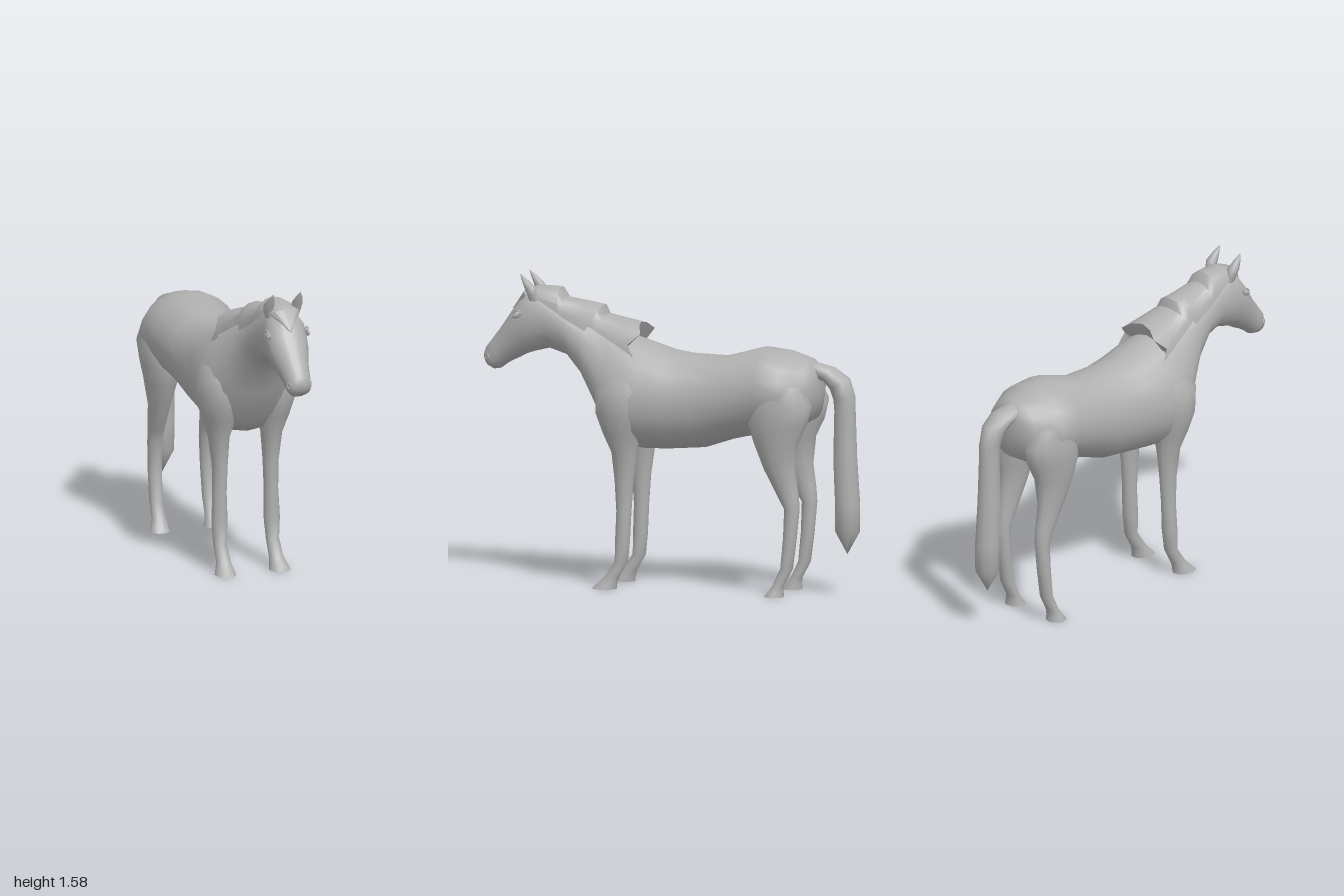
import * as THREE from 'three';
import { toCreasedNormals } from 'three/addons/utils/BufferGeometryUtils.js';

const coat = new THREE.MeshStandardMaterial({ color: 0xb0b0b0, side: THREE.DoubleSide });
coat.name = 'grey coat';

// Joins rows of points into a skin; closed rows wrap round and get end caps
function skin(rows, closed, crease = 1.1) {
  const n = rows[0].length, pos = rows.flat(2), index = [];
  const at = (i, j) => i * n + (j % n);
  for (let i = 0; i < rows.length - 1; i++) {
    for (let j = 0; j < (closed ? n : n - 1); j++) {
      const a = at(i, j), b = at(i, j + 1), c = at(i + 1, j), d = at(i + 1, j + 1);
      if (closed) index.push(a, c, b, b, c, d);
      else index.push(a, b, c, b, d, c);
    }
  }
  if (closed) {
    [0, rows.length - 1].forEach((r, end) => {
      const centre = pos.length / 3;
      for (let k = 0; k < 3; k++) pos.push(rows[r].reduce((s, p) => s + p[k], 0) / n);
      for (let j = 0; j < n; j++) {
        if (end) index.push(centre, at(r, j + 1), at(r, j));
        else index.push(centre, at(r, j), at(r, j + 1));
      }
    });
  }
  const g = new THREE.BufferGeometry();
  g.setAttribute('position', new THREE.Float32BufferAttribute(pos, 3));
  g.setIndex(index);
  return toCreasedNormals(g, crease);
}

// Oval ring between two points of the side profile, w = half width, k = pear shape
function ring([z1, y1, z2, y2, w, k = 0], x = 0, sides = 20) {
  return Array.from({ length: sides }, (_, j) => {
    const a = (j / sides) * Math.PI * 2, c = Math.cos(a);
    return [
      x + w * Math.sin(a) * (1 - k * c),
      (y1 + y2) / 2 + ((y1 - y2) / 2) * c,
      (z1 + z2) / 2 + ((z1 - z2) / 2) * c,
    ];
  });
}

// Rump to nose: top z, top y, bottom z, bottom y, half width, pear
const BODY = [
  [-.79, 1.17, -.80, 1.0, .07], [-.74, 1.205, -.77, .90, .165], [-.62, 1.24, -.66, .84, .24],
  [-.5, 1.255, -.5, .815, .235], [-.3, 1.2, -.33, .775, .207], [-.1, 1.205, -.18, .725, .207],
  [0, 1.22, 0, .71, .225], [.13, 1.26, .12, .705, .25, .1], [.22, 1.29, .24, .72, .245, .18],
  [.30, 1.325, .32, .80, .21, .25], [.37, 1.35, .40, .95, .165, .25], [.45, 1.385, .46, 1.06, .135, .18],
  [.54, 1.42, .55, 1.165, .115, .05], [.62, 1.465, .65, 1.195, .105], [.70, 1.50, .73, 1.175, .106],
  [.775, 1.475, .775, 1.16, .11, -.1], [.845, 1.385, .81, 1.14, .1, -.1], [.91, 1.29, .85, 1.122, .08],
  [.96, 1.225, .885, 1.10, .07], [.99, 1.185, .91, 1.08, .065], [1.0, 1.15, .94, 1.075, .055],
  [.995, 1.12, .965, 1.085, .028],
];

// Legs, top to hoof: y, front z, back z, centre x, half width
const FRONT_LEG = [
  [1.13, .30, .08, .15, .05], [1.02, .36, .06, .16, .098], [.9, .355, .08, .155, .105],
  [.8, .32, .12, .145, .085], [.7, .275, .14, .143, .055], [.55, .26, .16, .138, .04],
  [.4, .25, .172, .14, .037], [.25, .255, .18, .142, .042], [.14, .258, .19, .143, .034],
  [.06, .315, .235, .143, .037], [.03, .345, .245, .146, .045], [0, .378, .248, .148, .053],
];
const HIND_LEG = [
  [1.08, -.52, -.74, .14, .08], [.98, -.46, -.79, .14, .105], [.88, -.45, -.765, .14, .095],
  [.79, -.48, -.72, .142, .08], [.65, -.535, -.705, .142, .05], [.52, -.605, -.722, .14, .04],
  [.45, -.645, -.725, .14, .037], [.3, -.64, -.71, .142, .037], [.145, -.625, -.69, .143, .034],
  [.06, -.585, -.645, .143, .037], [.03, -.565, -.64, .146, .045], [0, -.54, -.643, .148, .053],
];

// Tail, tip to root: outer z, y, inner z, y, half width
const TAIL = [
  [-.935, .215, -.933, .215, .002], [-1, .33, -.87, .33, .06], [-1, .47, -.87, .47, .063],
  [-.985, .7, -.86, .7, .058], [-.977, .95, -.865, .95, .05], [-.975, 1.02, -.86, 1.0, .052],
  [-.945, 1.11, -.845, 1.05, .062], [-.86, 1.165, -.815, 1.09, .068], [-.76, 1.19, -.78, 1.1, .06],
];

// Mane, forelock to withers: crest z, y, lower edge z, y, half width
const MANE = [
  [.85, 1.388, .84, 1.388, .004], [.778, 1.49, .755, 1.465, .083], [.70, 1.515, .70, 1.455, .085],
  [.59, 1.512, .58, 1.385, .102], [.56, 1.462, .56, 1.37, .105], [.43, 1.445, .43, 1.305, .12],
  [.36, 1.43, .41, 1.33, .116], [.345, 1.385, .38, 1.315, .125], [.25, 1.367, .25, 1.245, .15],
  [.165, 1.35, .155, 1.19, .165], [.2, 1.26, .2, 1.19, .13],
];
const JAG = [0, -.01, -.03, .03, 0];

export function createModel() {
  const group = new THREE.Group();
  const add = (name, geometry) => {
    const mesh = new THREE.Mesh(geometry, coat);
    mesh.name = name;
    group.add(mesh);
    return mesh;
  };

  add('bodyNeckAndHead', skin(BODY.map((r) => ring(r)), true, 1.3));
  add('tail', skin(TAIL.map((r) => ring(r, 0, 12)), true));

  // Arched mane with stepped crest and ragged rear edge
  add('mane', skin(MANE.map(([z1, y1, z2, y2, w], i) =>
    Array.from({ length: 9 }, (_, j) => {
      const a = ((j - 4) / 4) * (Math.PI / 2), c = Math.cos(a);
      const jag = i === MANE.length - 2 ? JAG[Math.abs(j - 4)] : 0;
      return [w * Math.sin(a), y2 + (y1 - y2) * c, z2 + (z1 - z2) * c + jag];
    })), false, 0.7));

  for (const [side, s] of [['left', 1], ['right', -1]]) {
    for (const [name, rows] of [['FrontLeg', FRONT_LEG], ['HindLeg', HIND_LEG]]) {
      add(side + name, skin(rows.map(([y, zf, zb, x, w]) => ring([zf, y, zb, y, w], s * x, 14)), true));
    }

    // Pointed ear leaning forward: y, front z, back z, centre x, half width
    const ear = [[1.575, .787, .783, .074, .002], [1.545, .778, .745, .076, .018],
      [1.51, .765, .705, .077, .029], [1.475, .75, .695, .075, .026], [1.44, .74, .69, .068, .02]];
    add(side + 'Ear', skin(ear.map(([y, zf, zb, x, w]) => ring([zf, y, zb, y, w], s * x, 8)), true));

    // Almond eye with a raised lid
    const eye = add(side + 'Eye', new THREE.SphereGeometry(1, 12, 8));
    eye.scale.set(.01, .015, .026);
    eye.position.set(s * .106, 1.37, .795);
    eye.rotation.set(.6, s * .2, 0);
    const lid = add(side + 'Eyelid', new THREE.TorusGeometry(.024, .005, 6, 14));
    lid.scale.set(1, .7, 1);
    lid.position.set(s * .107, 1.372, .795);
    lid.rotation.set(.6, s * (Math.PI / 2 - .15), 0, 'XYZ');

    // Nostril rim
    const nostril = add(side + 'Nostril', new THREE.TorusGeometry(.013, .004, 6, 12));
    nostril.position.set(s * .057, 1.14, .968);
    nostril.rotation.y = s * 1.0;
  }
  return group;
}
